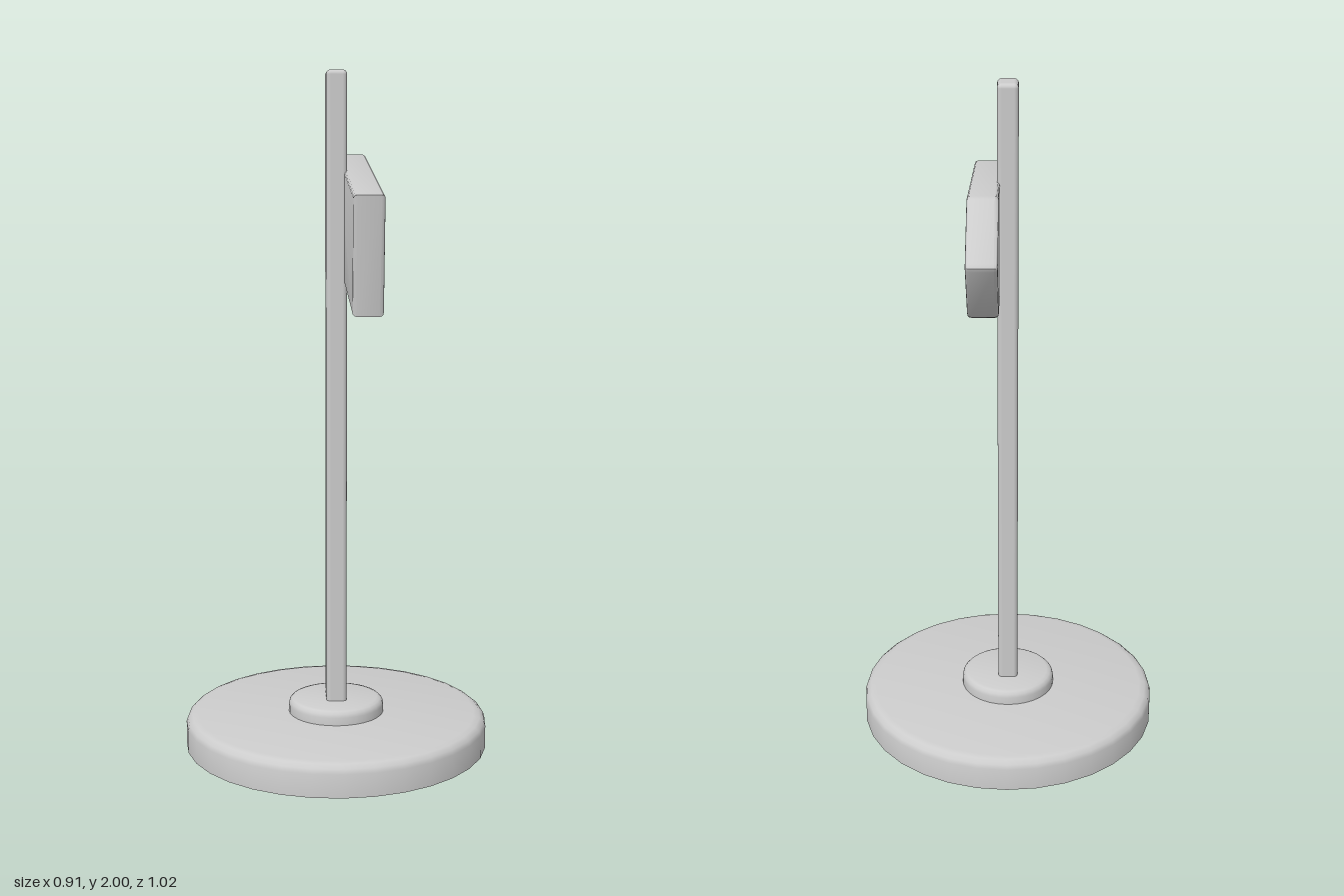
import * as THREE from 'three';
import { toCreasedNormals } from 'three/addons/utils/BufferGeometryUtils.js';
import { RoundedBoxGeometry } from 'three/addons/geometries/RoundedBoxGeometry.js';

const grey = new THREE.MeshStandardMaterial({ color: 0xcccccc });
grey.name = 'plain grey';

function part(name, geometry) {
  const mesh = new THREE.Mesh(geometry, grey);
  mesh.name = name;
  return mesh;
}

// Round disc with a softened top edge, standing on y = 0
function disc(radius, height, bevel, segments) {
  const profile = [new THREE.Vector2(0, 0), new THREE.Vector2(radius, 0)];
  const steps = 3;
  for (let i = 0; i <= steps; i++) {
    const a = (i / steps) * Math.PI / 2;
    profile.push(new THREE.Vector2(
      radius - bevel.x + bevel.x * Math.cos(a),
      height - bevel.y + bevel.y * Math.sin(a)));
  }
  profile.push(new THREE.Vector2(0, height));
  return toCreasedNormals(new THREE.LatheGeometry(profile, segments), 0.75);
}

export function createModel() {
  const model = new THREE.Group();
  model.name = 'signpost';
  const axisZ = 0.021;

  // Foot and collar
  const base = part('base', disc(0.453, 0.097, { x: 0.035, y: 0.028 }, 32));
  base.position.z = axisZ;
  const collar = part('collar', disc(0.143, 0.045, { x: 0.02, y: 0.02 }, 32));
  collar.position.set(0, 0.095, axisZ);

  // Upright
  const bottom = 0.12;
  const post = part('post', new RoundedBoxGeometry(0.06, 2 - bottom, 0.096, 3, 0.013));
  post.position.set(0, (2 + bottom) / 2, axisZ - 0.001);

  // Tilted arrow board on the left side, pointing to the back
  const outline = [
    [-0.468, 1.34], [0.345, 1.44], [0.358, 1.446], [0.505, 1.615],
    [0.509, 1.626], [0.503, 1.637], [0.32, 1.757], [0.303, 1.761], [-0.51, 1.661],
  ];
  const shape = new THREE.Shape(outline.map(([x, y]) => new THREE.Vector2(x, y)));
  const bevel = 0.01;
  const left = 0.022, right = 0.106;
  const boardGeometry = new THREE.ExtrudeGeometry(shape, {
    depth: right - left - 2 * bevel,
    bevelThickness: bevel, bevelSize: bevel, bevelOffset: -bevel, bevelSegments: 3,
  });
  const board = part('arrowBoard', toCreasedNormals(boardGeometry, 0.7));
  board.rotation.y = Math.PI / 2;
  board.position.x = left + bevel;

  model.add(base, collar, post, board);
  return model;
}
